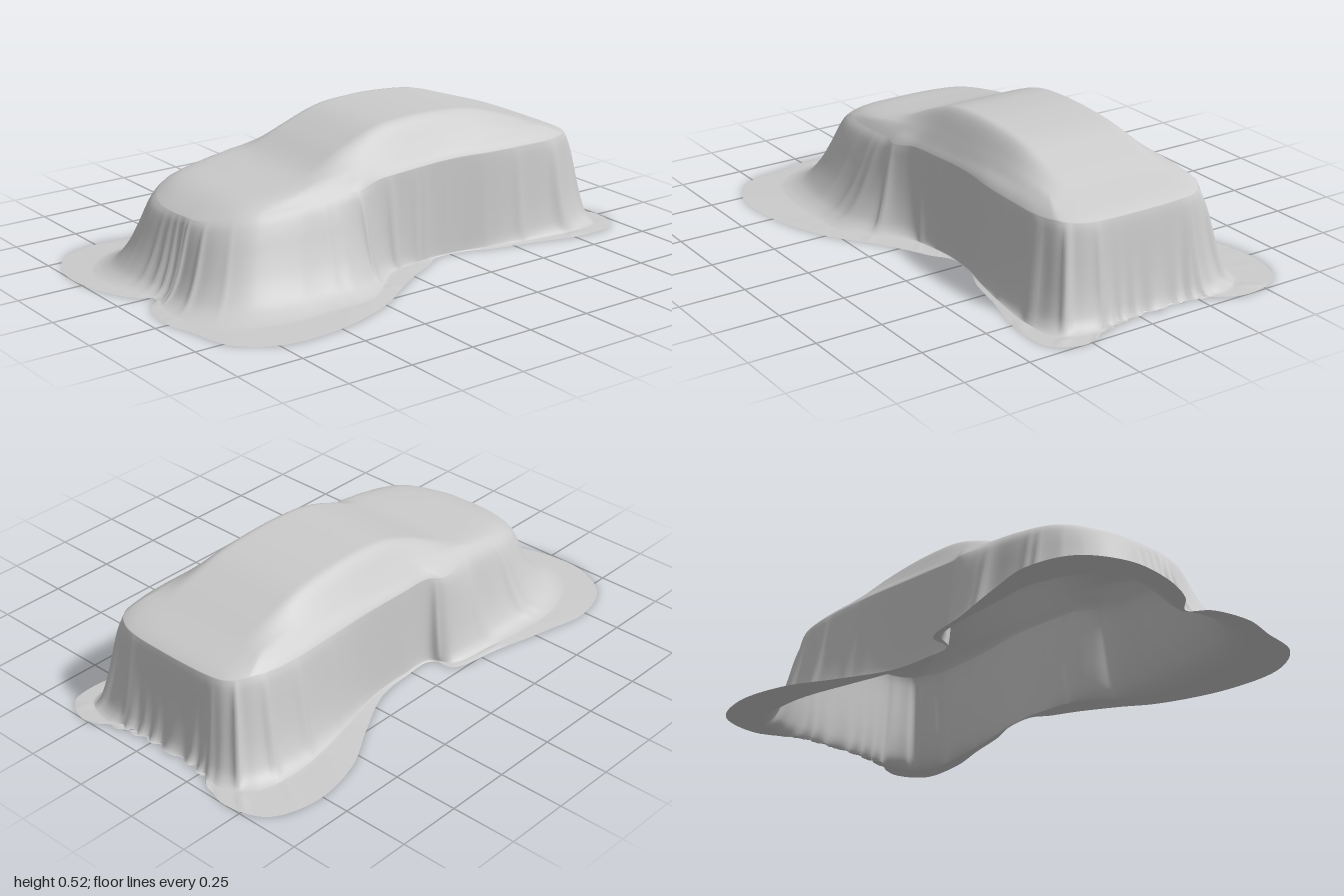
import * as THREE from 'three';

const CX = -0.05;      // centre line of the covered body
const FLOOR = 0.004;

// Closed outlines in [x, z], station by station: front, left side, back, right side
const shoulder = [
  [0, .73], [.06, .725], [.12, .7], [.18, .65], [.225, .57], [.25, .46], [.26, .35], [.265, .25], [.28, .18], [.257, .08],
  [.255, -.05], [.255, -.18], [.262, -.3], [.275, -.42], [.28, -.57], [.275, -.72], [.245, -.81], [.19, -.85], [.12, -.865],
  [0, -.87], [-.12, -.87], [-.22, -.865], [-.29, -.85], [-.34, -.8], [-.37, -.71], [-.38, -.57], [-.375, -.4], [-.365, -.2],
  [-.36, -.03], [-.357, .1], [-.38, .17], [-.36, .3], [-.35, .45], [-.33, .56], [-.29, .64], [-.23, .695], [-.15, .725], [-.07, .733],
];
const contact = [
  [.02, .85], [.1, .88], [.23, .89], [.35, .85], [.44, .76], [.48, .62], [.48, .45], [.47, .26], [.39, .15], [.3, .04],
  [.275, -.06], [.262, -.18], [.27, -.3], [.3, -.42], [.33, -.58], [.35, -.76], [.33, -.9], [.23, -.95], [.13, -.935],
  [0, -.925], [-.12, -.925], [-.23, -.93], [-.36, -.95], [-.46, -.88], [-.49, -.75], [-.475, -.58], [-.43, -.4], [-.38, -.2],
  [-.37, -.03], [-.378, .1], [-.455, .15], [-.485, .33], [-.505, .52], [-.5, .68], [-.44, .82], [-.33, .91], [-.2, .92], [-.08, .88],
];
const hem = [
  [.02, .86], [.08, .92], [.23, .95], [.36, .92], [.52, .88], [.62, .74], [.62, .5], [.53, .24], [.44, .11], [.36, -.02],
  [.31, -.12], [.27, -.18], [.275, -.31], [.315, -.42], [.35, -.58], [.395, -.76], [.385, -.94], [.28, -1], [.16, -.96],
  [0, -.93], [-.12, -.93], [-.23, -.935], [-.42, -1], [-.58, -.95], [-.64, -.78], [-.6, -.56], [-.5, -.38], [-.4, -.18],
  [-.38, -.02], [-.385, .1], [-.47, .13], [-.515, .33], [-.57, .56], [-.6, .74], [-.54, .91], [-.38, .995], [-.2, .985], [-.06, .93],
];
const closedCurve = (pts) => new THREE.CatmullRomCurve3(pts.map(([x, z]) => new THREE.Vector3(x, 0, z)), true);

// Heights along z, evenly spaced from z = -0.9 to z = 0.75
const heights = (ys) => {
  const curve = new THREE.SplineCurve(ys.map((y, i) => new THREE.Vector2(i, y)));
  return (z) => curve.getPoint(THREE.MathUtils.clamp((z + 0.9) / 1.65, 0, 1)).y;
};
const roofY = heights([.38, .402, .45, .495, .512, .515, .5, .447, .38, .354, .335, .298]);
const beltY = heights([.372, .385, .39, .39, .386, .378, .37, .36, .35, .335, .315, .29]);

// Height of the cloth lying on the body: cabin, sloping sill, rounded edge
function topY(x, z, t) {
  const d = Math.abs(x - CX);
  const cabin = 1 - THREE.MathUtils.smoothstep(d, 0.18, 0.295);
  const sill = beltY(z) + THREE.MathUtils.clamp(0.4 * (0.33 - d), 0, 0.025);
  return THREE.MathUtils.lerp(Math.min(sill, roofY(z)), roofY(z), cabin) - 0.026 * t ** 12;
}

// Hanging profile: share of the way out, share of the height left
const drape = new THREE.SplineCurve([
  [0, 1], [.1, .92], [.2, .77], [.33, .53], [.48, .3], [.66, .12], [.84, .035], [1, 0],
].map(([a, b]) => new THREE.Vector2(a, b)));

// Sharp-crested folds running down the hanging cloth
function folds(u) {
  const crest = (f, p) => (1 - Math.abs(Math.sin(Math.PI * (f * u + p)))) ** 3;
  const swell = 0.5 + 0.5 * Math.sin(2 * Math.PI * 5 * u + 1);
  return swell * (0.6 * crest(29, 0.2 + 0.4 * Math.sin(2 * Math.PI * 3 * u))
    + 0.5 * crest(17, 0.6 + 0.4 * Math.sin(2 * Math.PI * 7 * u)) - 0.2);
}

function coverGeometry() {
  const N = 400, TOP = 26, SKIRT = 28, FLAT = 8;
  const curves = [shoulder, contact, hem].map(closedCurve);
  const rows = TOP + SKIRT + FLAT + 1;
  const pos = new Float32Array(rows * N * 3);
  const middle = new THREE.Vector3(CX, 0, -0.08);
  for (let j = 0; j < N; j++) {
    const u = j / N;
    const [S, F, H] = curves.map((c) => c.getPoint(u));
    const tan = curves[0].getTangent(u);
    const out = new THREE.Vector3(-tan.z, 0, tan.x);
    const edgeY = topY(S.x, S.z, 1);
    const fold = folds(u);
    // tight gathers along the back hem
    const back = THREE.MathUtils.smoothstep(-S.z, 0.85, 0.868);
    const gather = back * Math.sin(u * 2 * Math.PI * 62 + 2 * Math.sin(u * 90));
    for (let i = 0; i < rows; i++) {
      let p, y;
      if (i <= TOP) {                       // cloth on roof, bonnet and boot
        const t = i / TOP;
        p = middle.clone().lerp(S, t);
        y = topY(p.x, p.z, t);
      } else if (i <= TOP + SKIRT) {        // hanging cloth
        const s = (i - TOP) / SKIRT;
        const d = drape.getPoint(s);
        p = S.clone().lerp(F, d.x);
        p.addScaledVector(out, 0.03 * fold * Math.sin(Math.PI * s ** 1.3) + 0.012 * gather * s ** 3);
        y = FLOOR + (edgeY - FLOOR) * d.y;
      } else {                              // cloth spread on the ground
        const s = (i - TOP - SKIRT) / FLAT;
        p = F.clone().lerp(H, s).addScaledVector(out, 0.012 * gather);
        y = FLOOR * (1 - s) + 0.03 * Math.max(0, fold) * (1 - s) * s + 0.008 * Math.max(0, gather) * s;
      }
      pos.set([p.x, y, p.z], (i * N + j) * 3);
    }
  }
  // rings joined into a closed skin, fanning out from the middle of the roof
  const index = [];
  for (let i = 0; i < rows - 1; i++) {
    for (let j = 0; j < N; j++) {
      const k = (j + 1) % N;
      const a = i * N + j, b = a + N, c = i * N + k, d = c + N;
      if (i > 0) index.push(a, b, c);
      index.push(c, b, d);
    }
  }
  const geo = new THREE.BufferGeometry();
  geo.setAttribute('position', new THREE.BufferAttribute(pos, 3));
  geo.setIndex(index);
  geo.computeVertexNormals();
  return geo;
}

export function createModel() {
  const group = new THREE.Group();
  group.name = 'coveredCar';
  const cloth = new THREE.MeshStandardMaterial({ color: 0xcccccc, side: THREE.DoubleSide });
  const cover = new THREE.Mesh(coverGeometry(), cloth);
  cover.name = 'clothCover';
  group.add(cover);
  return group;
}
